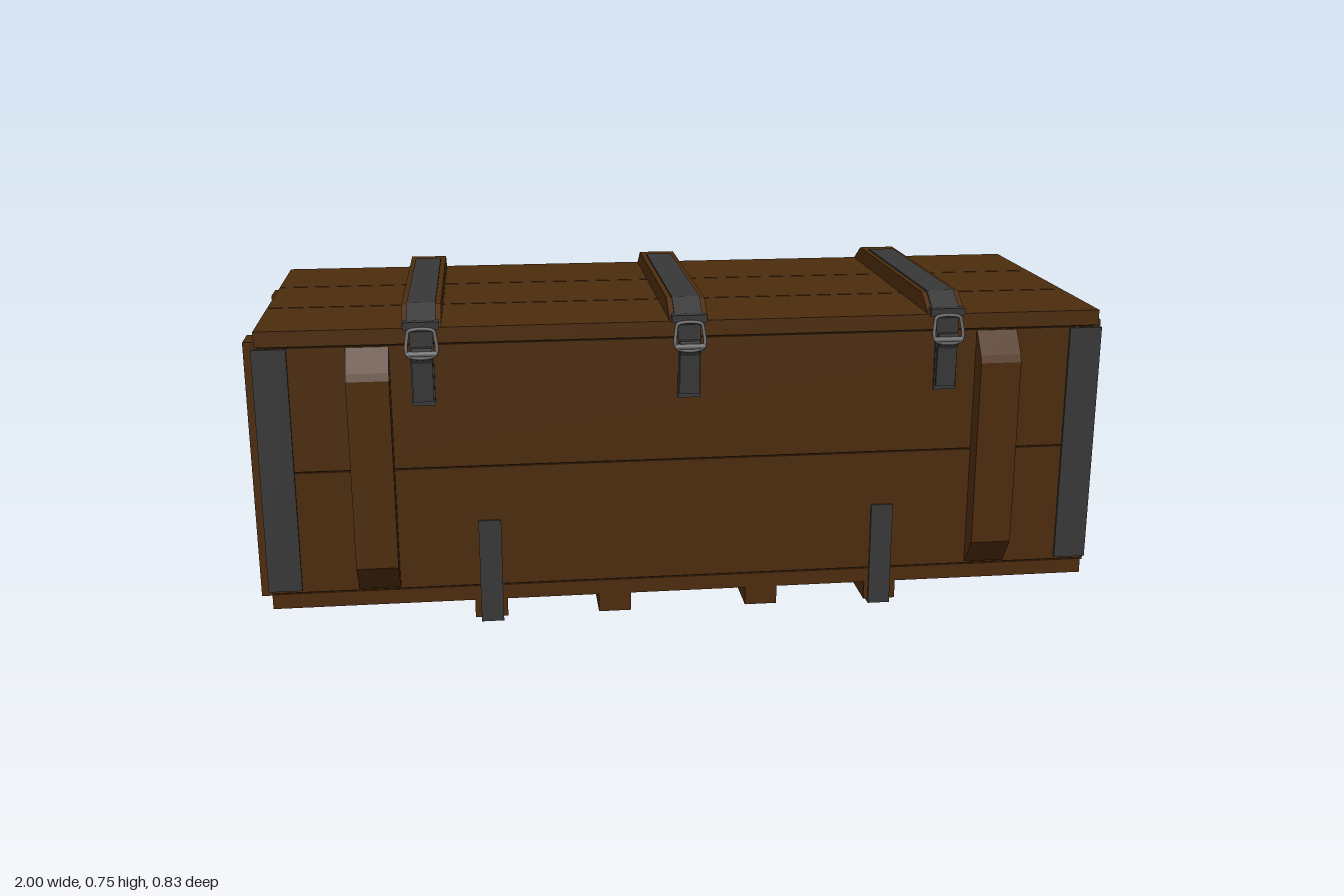
import * as THREE from 'three';

export function createModel() {
  const mat = (name, color) => {
    const m = new THREE.MeshStandardMaterial({ color });
    m.name = name;
    return m;
  };
  const wood = mat('brown wood', 0x4d2c0d);
  const seam = mat('dark seam', 0x1f1206);
  const metal = mat('dark grey metal', 0x383838);
  const steel = mat('light grey steel', 0x686868);

  const crate = new THREE.Group();
  crate.name = 'crate';

  const add = (name, geo, material, parent = crate) => {
    const m = new THREE.Mesh(geo, material);
    m.name = name;
    parent.add(m);
    return m;
  };
  // Box given by its limits on each axis
  const box = (name, [x0, x1], [y0, y1], [z0, z1], material, parent) => {
    const g = new THREE.BoxGeometry(x1 - x0, y1 - y0, z1 - z0);
    g.translate((x0 + x1) / 2, (y0 + y1) / 2, (z0 + z1) / 2);
    return add(name, g, material, parent);
  };
  // Outline of [z, y] points extruded along x about the centre cx
  const prism = (name, points, cx, width, material, parent) => {
    const shape = new THREE.Shape(points.map(([z, y]) => new THREE.Vector2(z, y)));
    const g = new THREE.ExtrudeGeometry(shape, { depth: width, bevelEnabled: false });
    g.rotateY(-Math.PI / 2).translate(cx + width / 2, 0, 0);
    return add(name, g, material, parent);
  };
  // Wire following a smooth path
  const wire = (name, pts, closed, r, parent) => {
    const curve = new THREE.CatmullRomCurve3(pts.map(p => new THREE.Vector3(...p)), closed, 'centripetal');
    return add(name, new THREE.TubeGeometry(curve, 64, r, 8, closed), steel, parent);
  };

  const X = 0.965, Z = 0.37, gap = 0.002;

  // Core seen only through the joints between boards
  box('innerCore', [-X + 0.006, X - 0.006], [0.058, 0.7], [-Z + 0.006, Z - 0.006], seam);

  // Lid and floor, three boards each
  const cuts = [-Z, -0.123, 0.123, Z];
  for (let i = 0; i < 3; i++) {
    const zr = [cuts[i] + (i ? gap : 0), cuts[i + 1] - (i < 2 ? gap : 0)];
    box('lidBoard', [-X, X], [0.672, 0.708], zr, wood);
    box('floorBoard', [-X, X], [0.053, 0.088], zr, wood);
  }

  // Walls, two boards high
  for (const yr of [[0.091, 0.379], [0.382, 0.669]]) {
    for (const s of [-1, 1]) {
      const z = s * (Z - 0.015), x = s * (X - 0.015);
      box('sideBoard', [-X, X], yr, [z - 0.015, z + 0.015], wood);
      box('endBoard', [x - 0.015, x + 0.015], yr, [-Z + 0.03, Z - 0.03], wood);
    }
  }

  // Runners under the floor
  for (const x of [-0.465, -0.175, 0.175, 0.465]) {
    box('runner', [x - 0.038, x + 0.038], [0.009, 0.054], [-Z, Z], wood);
  }

  // Metal bands wrapped under the outer runners
  for (const x of [-0.463, 0.463]) {
    const o = Z + 0.006, i = Z;
    prism('runnerBand', [[-o, 0], [o, 0], [o, 0.25], [i, 0.25], [i, 0.007], [-i, 0.007], [-i, 0.25], [-o, 0.25]],
      x, 0.052, metal);
  }

  for (const sx of [-1, 1]) {
    for (const sz of [-1, 1]) {
      // Chamfered upright battens on the long sides
      const outline = [[0.365, 0.09], [0.373, 0.097], [0.417, 0.16], [0.417, 0.6], [0.41, 0.617], [0.373, 0.668], [0.365, 0.668]];
      const batten = prism('sideBatten', outline, sx * 0.72, 0.095, wood);
      if (sz < 0) {
        batten.rotation.y = Math.PI;
        batten.position.x = sx * 1.44;
      }

      // Upright battens on the ends
      box('endBatten', [sx * 0.982 - 0.018, sx * 0.982 + 0.018], [0.057, 0.668],
        [sz * 0.259 - 0.039, sz * 0.259 + 0.039], wood);

      // Corner irons made of two plates
      box('cornerIron', [sx * 0.934 - 0.038, sx * 0.934 + 0.038], [0.097, 0.668],
        [sz * 0.372 - 0.004, sz * 0.372 + 0.004], metal);
      box('cornerIron', [sx * 0.968 - 0.004, sx * 0.968 + 0.004], [0.097, 0.668],
        [sz * 0.337 - 0.038, sz * 0.337 + 0.038], metal);
    }
  }

  // Lid battens with straps and toggle latches
  for (const x of [-0.6, 0, 0.6]) {
    prism('lidBatten', [[-0.37, 0.706], [0.37, 0.706], [0.302, 0.747], [-0.302, 0.747]], x, 0.088, wood);
    prism('lidStrap', [[-0.25, 0.745], [0.302, 0.745], [0.37, 0.704], [0.376, 0.706], [0.304, 0.751], [-0.25, 0.751]],
      x, 0.064, metal);
    const latch = new THREE.Group();
    latch.name = 'latch';
    latch.position.x = x;
    crate.add(latch);
    box('catchPlate', [-0.04, 0.04], [0.705, 0.722], [0.355, 0.378], metal, latch);
    box('latchPlate', [-0.026, 0.026], [0.53, 0.7], [0.368, 0.376], metal, latch);
    prism('toggleLever', [[0.376, 0.54], [0.382, 0.54], [0.386, 0.63], [0.394, 0.645], [0.39, 0.665], [0.376, 0.665]],
      0, 0.046, metal, latch);
    wire('latchLoop', [[-0.03, 0.65, 0.392], [-0.031, 0.69, 0.382], [-0.027, 0.703, 0.38], [0.027, 0.703, 0.38],
      [0.031, 0.69, 0.382], [0.03, 0.65, 0.392]], true, 0.004, latch);
    const pin = add('latchPin', new THREE.CylinderGeometry(0.007, 0.007, 0.066, 12), steel, latch);
    pin.rotation.z = Math.PI / 2;
    pin.position.set(0, 0.652, 0.39);
  }

  // Hinges along the back seam, the middle one longer
  for (const [x, w] of [[-0.485, 0.09], [0, 0.145], [0.485, 0.09]]) {
    box('hingeLeaf', [x - w / 2, x + w / 2], [0.655, 0.688], [-0.374, -0.366], metal);
    const barrel = add('hingeBarrel', new THREE.CylinderGeometry(0.006, 0.006, w, 10), metal);
    barrel.rotation.z = Math.PI / 2;
    barrel.position.set(x, 0.67, -0.375);
  }

  // Carrying handles on both ends
  for (const turn of [0, Math.PI]) {
    const handle = new THREE.Group();
    handle.name = 'handle';
    handle.rotation.y = turn;
    crate.add(handle);
    box('handlePlate', [0.962, 0.97], [0.395, 0.535], [-0.123, 0.123], metal, handle);
    box('handleBracket', [0.969, 0.98], [0.462, 0.472], [-0.062, 0.062], metal, handle);
    for (const z of [-0.094, 0.094]) {
      for (const y of [0.42, 0.513]) {
        const rivet = add('rivet', new THREE.CylinderGeometry(0.006, 0.008, 0.005, 12), steel, handle);
        rivet.rotation.z = -Math.PI / 2;
        rivet.position.set(0.972, y, z);
      }
    }
    const h = 0.977;
    wire('handleGrip', [[h, 0.465, -0.058], [h, 0.465, 0.058], [h, 0.453, 0.072], [h, 0.41, 0.073],
      [h, 0.393, 0.058], [h, 0.393, -0.058], [h, 0.41, -0.073], [h, 0.453, -0.072]], true, 0.0045, handle);
  }

  return crate;
}
